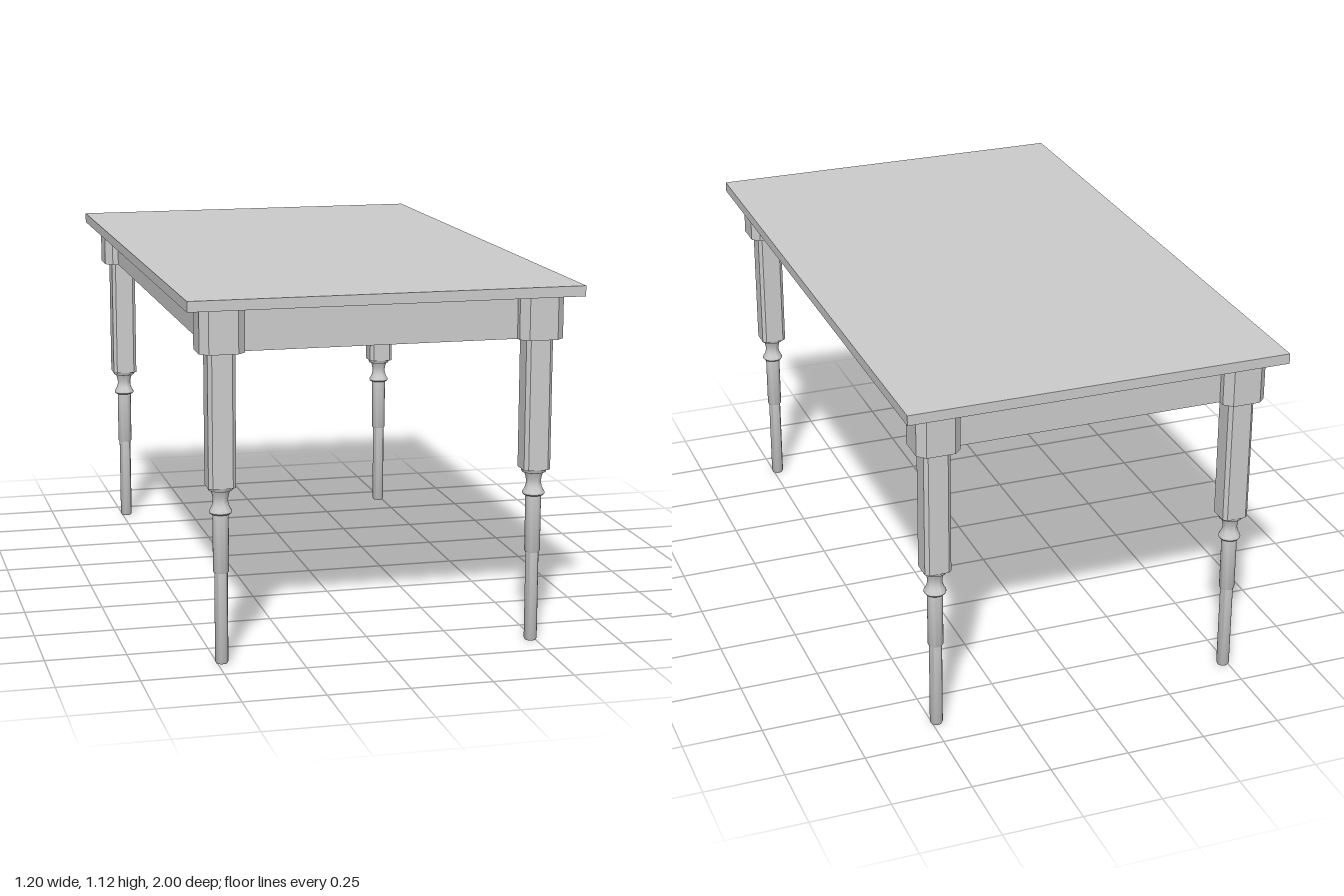
import * as THREE from 'three';
import { toCreasedNormals } from 'three/addons/utils/BufferGeometryUtils.js';

const material = new THREE.MeshStandardMaterial({ color: 0xcccccc });

function add(parent, name, geometry, x = 0, y = 0, z = 0) {
  const mesh = new THREE.Mesh(geometry, material);
  mesh.name = name;
  mesh.position.set(x, y, z);
  parent.add(mesh);
  return mesh;
}

// Upright square post with its four corners cut, standing on y = 0
function chamferedPost(half, cut, height) {
  const i = half - cut;
  const corners = [[i, -half], [half, -i], [half, i], [i, half], [-i, half], [-half, i], [-half, -i], [-i, -half]];
  const shape = new THREE.Shape(corners.map(([x, y]) => new THREE.Vector2(x, y)));
  return new THREE.ExtrudeGeometry(shape, { depth: height, bevelEnabled: false }).rotateX(-Math.PI / 2);
}

// Turned lower leg, radius and height from the foot up
const turnedProfile = [
  [0, 0], [0.017, 0], [0.02, 0.006], [0.02, 0.282],
  [0.022, 0.282], [0.024, 0.286], [0.024, 0.462],
  [0.031, 0.462], [0.034, 0.466], [0.034, 0.471], [0.031, 0.476],
  [0.026, 0.486], [0.023, 0.498], [0.023, 0.508], [0.025, 0.52], [0.029, 0.532],
  [0.036, 0.534], [0.04, 0.545], [0, 0.545],
].map(([r, y]) => new THREE.Vector2(r, y));

export function createModel() {
  const table = new THREE.Group();
  table.name = 'table';

  // Top board and the solid apron body below it
  add(table, 'tableTop', new THREE.BoxGeometry(1.2, 0.032, 2), 0, 1.101, 0);
  add(table, 'apron', new THREE.BoxGeometry(1.02, 0.135, 1.83), 0, 1.0175, 0);

  const block = chamferedPost(0.068, 0.024, 0.135);
  const shaft = chamferedPost(0.0415, 0.011, 0.407);
  const turned = toCreasedNormals(new THREE.LatheGeometry(turnedProfile, 24), 0.6);

  // Four legs: corner block, chamfered shaft, turned foot
  for (const sx of [-1, 1]) {
    for (const sz of [-1, 1]) {
      const leg = new THREE.Group();
      leg.name = `${sz > 0 ? 'front' : 'back'}${sx > 0 ? 'Left' : 'Right'}Leg`;
      leg.position.set(sx * 0.486, 0, sz * 0.892);
      add(leg, 'cornerBlock', block, 0, 0.95, 0);
      add(leg, 'legShaft', shaft, 0, 0.545, 0);
      add(leg, 'turnedLeg', turned);
      table.add(leg);
    }
  }
  return table;
}
